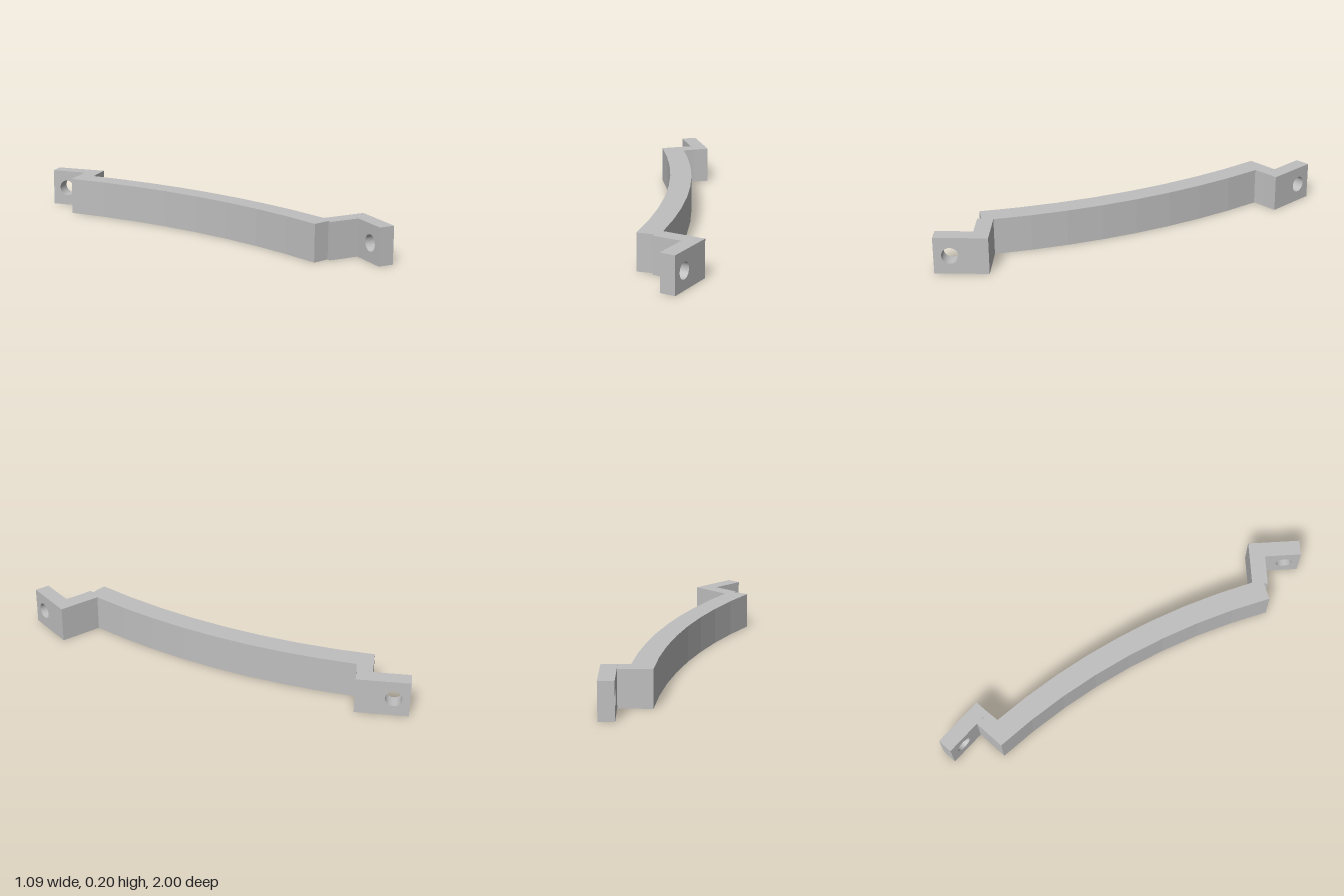
import * as THREE from 'three';

const H = 0.2, T = 0.083, LEN = 0.284;

// Points of an arc seen from above, as [x, z], angles in degrees
function arc(radius, from, to, steps = 8) {
  const cx = -3.247, cz = 1.603, pts = [];
  for (let i = 0; i <= steps; i++) {
    const a = THREE.MathUtils.degToRad(from + (to - from) * i / steps);
    pts.push([cx + radius * Math.cos(a), cz - radius * Math.sin(a)]);
  }
  return pts;
}

export function createModel() {
  const group = new THREE.Group();
  group.name = 'bracket';
  const grey = new THREE.MeshStandardMaterial({ color: 0xbfbfbf });
  grey.name = 'grey';

  // Curved bar with the short leg at each end
  const outline = [
    ...arc(3.549, 13.08, 40.04),
    [-0.404, -0.803], [-0.344, -0.744],
    ...arc(3.667, 38.8, 14.02),
    [0.462, 0.715], [0.462, 0.8], [0.3, 0.8], [0.3, 0.779],
  ].map(([x, z]) => new THREE.Vector2(x, -z));
  const barGeo = new THREE.ExtrudeGeometry(new THREE.Shape(outline), { depth: H, bevelEnabled: false });
  barGeo.rotateX(-Math.PI / 2);
  const bar = new THREE.Mesh(barGeo, grey);
  bar.name = 'curvedBar';
  group.add(bar);

  // Mounting plate with a round screw hole
  const plate = new THREE.Shape();
  plate.moveTo(0, 0).lineTo(LEN, 0).lineTo(LEN, H).lineTo(0, H).closePath();
  const hole = new THREE.Path();
  hole.absarc(LEN - 0.085, H / 2, 0.044, 0, Math.PI * 2, true);
  plate.holes.push(hole);
  const plateGeo = new THREE.ExtrudeGeometry(plate, { depth: T, bevelEnabled: false, curveSegments: 32 });

  const addPlate = (name, x, z, angle) => {
    const mesh = new THREE.Mesh(plateGeo, grey);
    mesh.name = name;
    mesh.position.set(x, 0, z);
    mesh.rotation.y = angle;
    group.add(mesh);
  };
  addPlate('frontMountingPlate', 0.545, 0.715, -Math.PI / 2);
  addPlate('backMountingPlate', -0.344, -0.744, Math.PI * 0.75);

  return group;
}
